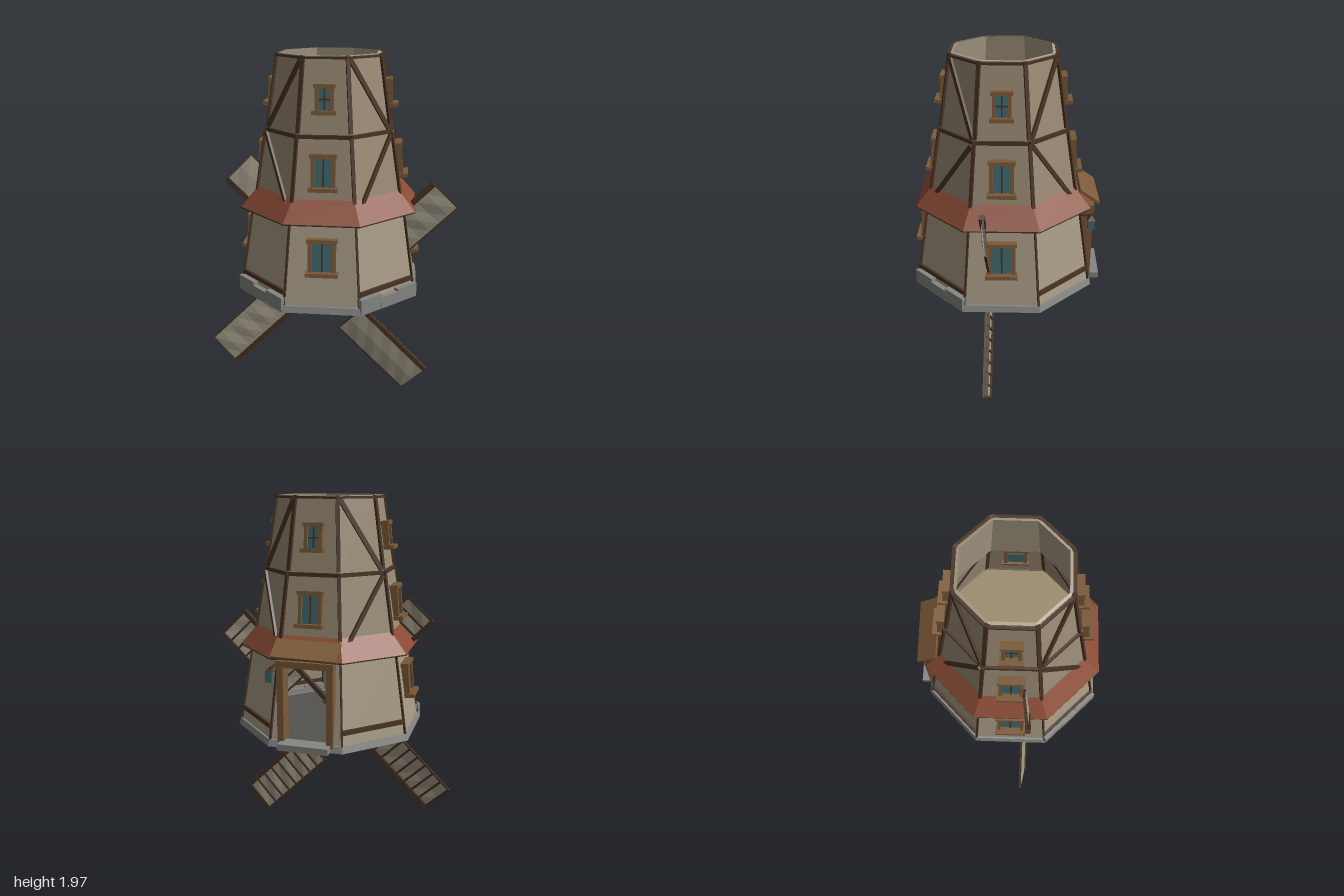
import * as THREE from 'three';

const C8 = Math.cos(Math.PI / 8), T8 = Math.tan(Math.PI / 8);
const mat = (color) => new THREE.MeshStandardMaterial({ color, flatShading: true, side: THREE.DoubleSide });
const plaster = mat(0xa89c86), plasterHigh = mat(0x9a8b75), wood = mat(0x4a3425), trim = mat(0x7c5a38);
const tile = mat(0x8a4b36), stone = mat(0x868684), glass = mat(0x416a70), cloth = mat(0xa39c8a);
const floorWood = mat(0x9c8a6c), dark = mat(0x3a2c20), darkStone = mat(0x55534e);

// Wall tiers: bottom height, bottom apothem, top height, top apothem
const LOW = [0.7, 0.482, 1.2, 0.405], MID = [1.2, 0.398, 1.59, 0.335], TOP = [1.59, 0.328, 1.99, 0.268];

function add(parent, geo, material, name, x = 0, y = 0, z = 0) {
  const m = new THREE.Mesh(geo, material);
  m.name = name;
  m.position.set(x, y, z);
  parent.add(m);
  return m;
}
const box = (parent, w, h, d, material, name, x, y, z) =>
  add(parent, new THREE.BoxGeometry(w, h, d), material, name, x, y, z);

// Eight-sided band with flat faces towards the axes
function band(parent, [y0, a0, y1, a1], material, name, open = true, start = 0, sides = 8) {
  const geo = new THREE.CylinderGeometry(a1 / C8, a0 / C8, y1 - y0, sides, 1, open,
    Math.PI / 8 + start * Math.PI / 4, sides * Math.PI / 4);
  return add(parent, geo, material, name, 0, (y0 + y1) / 2, 0);
}

// Point on wall panel k: u runs -1..1 across, y is height, out is distance off the wall
function onWall(tier, k, u, y, out = 0) {
  const a = k * Math.PI / 4, [y0, a0, y1, a1] = tier;
  const r = a0 + (a1 - a0) * (y - y0) / (y1 - y0), s = u * r * T8;
  return new THREE.Vector3(
    Math.sin(a) * (r + out) + Math.cos(a) * s, y, Math.cos(a) * (r + out) - Math.sin(a) * s);
}

// Straight timber between two points, its depth facing "out"
function beam(parent, p, q, w, d, out, material, name) {
  const dir = q.clone().sub(p), len = dir.length();
  dir.normalize();
  const x = dir.clone().cross(out).normalize(), z = x.clone().cross(dir);
  const m = box(parent, w, len, d, material, name);
  m.quaternion.setFromRotationMatrix(new THREE.Matrix4().makeBasis(x, dir, z));
  m.position.copy(p).lerp(q, 0.5);
  return m;
}
const outward = (k) => new THREE.Vector3(Math.sin(k * Math.PI / 4), 0, Math.cos(k * Math.PI / 4));

function quad(parent, corners, material, name) {
  const geo = new THREE.BufferGeometry().setFromPoints(corners);
  geo.setIndex([0, 1, 2, 0, 2, 3]);
  geo.computeVertexNormals();
  return add(parent, geo, material, name);
}

function makeWindow(tier, k, y, w, h, cross) {
  const g = new THREE.Group();
  g.name = 'window';
  g.position.copy(onWall(tier, k, 0, y));
  g.rotation.order = 'YXZ';
  g.rotation.set(-0.6 * Math.atan((tier[1] - tier[3]) / (tier[2] - tier[0])), k * Math.PI / 4, 0);
  box(g, w - 0.02, h - 0.02, 0.02, glass, 'glass', 0, 0, 0.008);
  for (const s of [-1, 1]) box(g, 0.018, h, 0.045, trim, 'windowJamb', s * (w / 2 - 0.009), 0, 0.012);
  box(g, w + 0.015, 0.02, 0.05, trim, 'windowLintel', 0, h / 2, 0.014);
  box(g, w + 0.025, 0.02, 0.075, trim, 'windowSill', 0, -h / 2, 0.022);
  box(g, 0.008, h, 0.012, wood, 'glazingBar', 0, 0, 0.016);
  if (cross) box(g, w, 0.008, 0.012, wood, 'glazingBar', 0, 0, 0.016);
  return g;
}

// Lattice sail: arm along +y, cloth towards +x
function makeSail() {
  const g = new THREE.Group();
  g.name = 'sail';
  box(g, 0.026, 0.77, 0.03, wood, 'sailArm', 0, 0.425, 0);
  const frame = new THREE.Group();
  frame.name = 'sailFrame';
  frame.rotation.y = 0.12;
  g.add(frame);
  const geo = new THREE.PlaneGeometry(0.18, 0.53, 2, 8);
  const p = geo.attributes.position;
  for (let i = 0; i < p.count; i++) {
    const col = i % 3, row = Math.floor(i / 3);
    p.setZ(i, col === 1 ? (row % 2 ? 0.008 : 0.001) : 0);
  }
  geo.computeVertexNormals();
  add(frame, geo, cloth, 'sailCloth', 0.1, 0.54, 0.006);
  for (let i = 0; i <= 8; i++)
    box(frame, 0.215, 0.011, 0.01, wood, 'sailSlat', 0.092, 0.275 + i * 0.066, -0.004);
  box(frame, 0.009, 0.54, 0.012, wood, 'sailEdge', 0.194, 0.54, 0);
  return g;
}

export function createModel() {
  const model = new THREE.Group();
  const tower = new THREE.Group();
  tower.name = 'tower';
  tower.position.z = 0.02;
  model.add(tower);

  // Walls; the lower band leaves the back panel open for the doorway
  band(tower, LOW, plaster, 'lowerWall', true, 4, 7);
  band(tower, MID, plasterHigh, 'middleWall');
  band(tower, TOP, plasterHigh, 'upperWall');
  band(tower, [1.59, 0.305, 1.99, 0.25], plaster, 'innerWall');
  band(tower, [1.985, 0.268, 1.99, 0.25], plaster, 'topRim');
  const panel = (u0, u1, y0, y1) => quad(tower, [[u0, y0], [u1, y0], [u1, y1], [u0, y1]]
    .map(([u, y]) => onWall(LOW, 4, u, y)), plaster, 'doorWall');
  panel(-1, -0.7, 0.7, 1.2);
  panel(0.7, 1, 0.7, 1.2);
  panel(-0.7, 0.7, 1.13, 1.2);

  // Tiled skirt roof
  band(tower, [1.17, 0.475, 1.28, 0.385], tile, 'skirtRoof');
  band(tower, [1.165, 0.475, 1.172, 0.475], wood, 'skirtEdge');

  // Floors
  band(tower, [1.16, 0.4, 1.175, 0.4], floorWood, 'upperFloor', false);
  band(tower, [0.705, 0.47, 0.72, 0.47], darkStone, 'groundFloor', false);
  band(tower, [0.699, 0.4, 0.705, 0.4], mat(0x46423c), 'floorUnderside', false);
  band(tower, [0.695, 0.26, 0.699, 0.26], dark, 'floorCentre', false);

  // Stone footing, with taller blocks on the front corners
  band(tower, [0.69, 0.498, 0.725, 0.488], stone, 'footing');
  band(tower, [0.725, 0.488, 0.727, 0.45], stone, 'footingTop');
  band(tower, [0.69, 0.498, 0.692, 0.44], stone, 'footingBase');
  for (const k of [1, 7]) {
    [[-0.66, 0.145, 0.085], [0, 0.125, 0.065], [0.66, 0.145, 0.08]].forEach(([u, w, h]) => {
      const b = box(tower, w, h, 0.04, stone, 'footingBlock');
      b.position.copy(onWall(LOW, k, u, 0.69 + h / 2, 0.004));
      b.rotation.y = k * Math.PI / 4;
    });
  }

  // Timber framing
  for (let k = 0; k < 8; k++) {
    const out = outward(k), corner = outward(k + 0.5);
    const bar = (tier, u0, y0, u1, y1, w, name) =>
      beam(tower, onWall(tier, k, u0, y0, 0.004), onWall(tier, k, u1, y1, 0.004), w, 0.018, out, wood, name);
    for (const [tier, w] of [[LOW, 0.01], [MID, 0.018], [TOP, 0.02]])
      beam(tower, onWall(tier, k, 1, tier[0] + 0.02), onWall(tier, k, 1, tier[2]), w, 0.018, corner, wood, 'cornerPost');
    bar(TOP, -1, 1.595, 1, 1.595, 0.02, 'wallRail');
    bar(TOP, -1, 1.98, 1, 1.98, 0.012, 'topRail');
    if (k % 2) {
      const s = k % 4 === 1 ? 1 : -1;
      bar(TOP, -s * 0.9, 1.97, s * 0.9, 1.61, 0.024, 'brace');
      bar(MID, s * 0.9, 1.58, -s * 0.75, 1.24, 0.022, 'brace');
      bar(LOW, -1, 0.795, 1, 0.795, 0.025, 'baseRail');
    } else {
      // Windows on the four straight faces
      if (k !== 4) tower.add(makeWindow(LOW, k, 0.99, 0.145, 0.175, false));
      tower.add(makeWindow(MID, k, 1.42, 0.125, 0.17, false));
      tower.add(makeWindow(TOP, k, 1.78, 0.095, 0.13, true));
    }
  }

  // Doorway on the back with porch roof, step and lantern
  const door = new THREE.Group();
  door.name = 'doorway';
  model.add(door);
  for (const s of [-1, 1]) {
    box(door, 0.035, 0.45, 0.05, trim, 'doorPost', s * 0.135, 0.935, -0.45);
    box(door, 0.012, 0.43, 0.07, trim, 'doorCheek', s * 0.13, 0.945, -0.41);
  }
  box(door, 0.31, 0.035, 0.06, trim, 'doorLintel', 0, 1.15, -0.45);
  const porch = box(door, 0.35, 0.016, 0.13, trim, 'porchRoof', 0, 1.222, -0.445);
  porch.rotation.x = -0.6;
  porch.rotation.z = 0.03;
  box(door, 0.28, 0.035, 0.09, stone, 'doorStep', 0, 0.71, -0.482);
  box(door, 0.012, 0.012, 0.07, wood, 'lanternBracket', 0.185, 1.125, -0.44);
  box(door, 0.036, 0.055, 0.036, glass, 'lantern', 0.195, 1.075, -0.462);
  add(door, new THREE.ConeGeometry(0.032, 0.025, 4, 1, false, Math.PI / 4), wood, 'lanternCap', 0.195, 1.115, -0.462);

  // Small capped stand on the upper floor and a stool below
  for (const y of [1.175, 0.72]) {
    const stand = new THREE.Group();
    stand.name = 'stand';
    stand.position.set(0, y, 0.1);
    add(stand, new THREE.CylinderGeometry(0.03, 0.045, 0.05, 6), darkStone, 'standBase', 0, 0.025, 0);
    add(stand, new THREE.ConeGeometry(0.06, 0.05, 5), tile, 'standCap', 0, 0.07, 0);
    model.add(stand);
  }

  // Sails and hub
  const rotor = new THREE.Group();
  rotor.name = 'sails';
  rotor.position.set(0, 0.73, 0.112);
  model.add(rotor);
  for (let i = 0; i < 4; i++) {
    const sail = makeSail();
    sail.rotation.z = Math.PI / 4 + i * Math.PI / 2;
    rotor.add(sail);
  }
  add(rotor, new THREE.CylinderGeometry(0.052, 0.052, 0.06, 10).rotateX(Math.PI / 2), trim, 'hub');
  add(rotor, new THREE.CylinderGeometry(0.035, 0.035, 0.09, 10).rotateX(Math.PI / 2), stone, 'hubAxle');
  for (let i = 0; i < 4; i++) {
    const a = Math.PI / 4 + i * Math.PI / 2;
    const c = box(rotor, 0.04, 0.03, 0.045, darkStone, 'armClamp', -Math.sin(a) * 0.07, Math.cos(a) * 0.07, 0);
    c.rotation.z = a;
  }
  return model;
}
